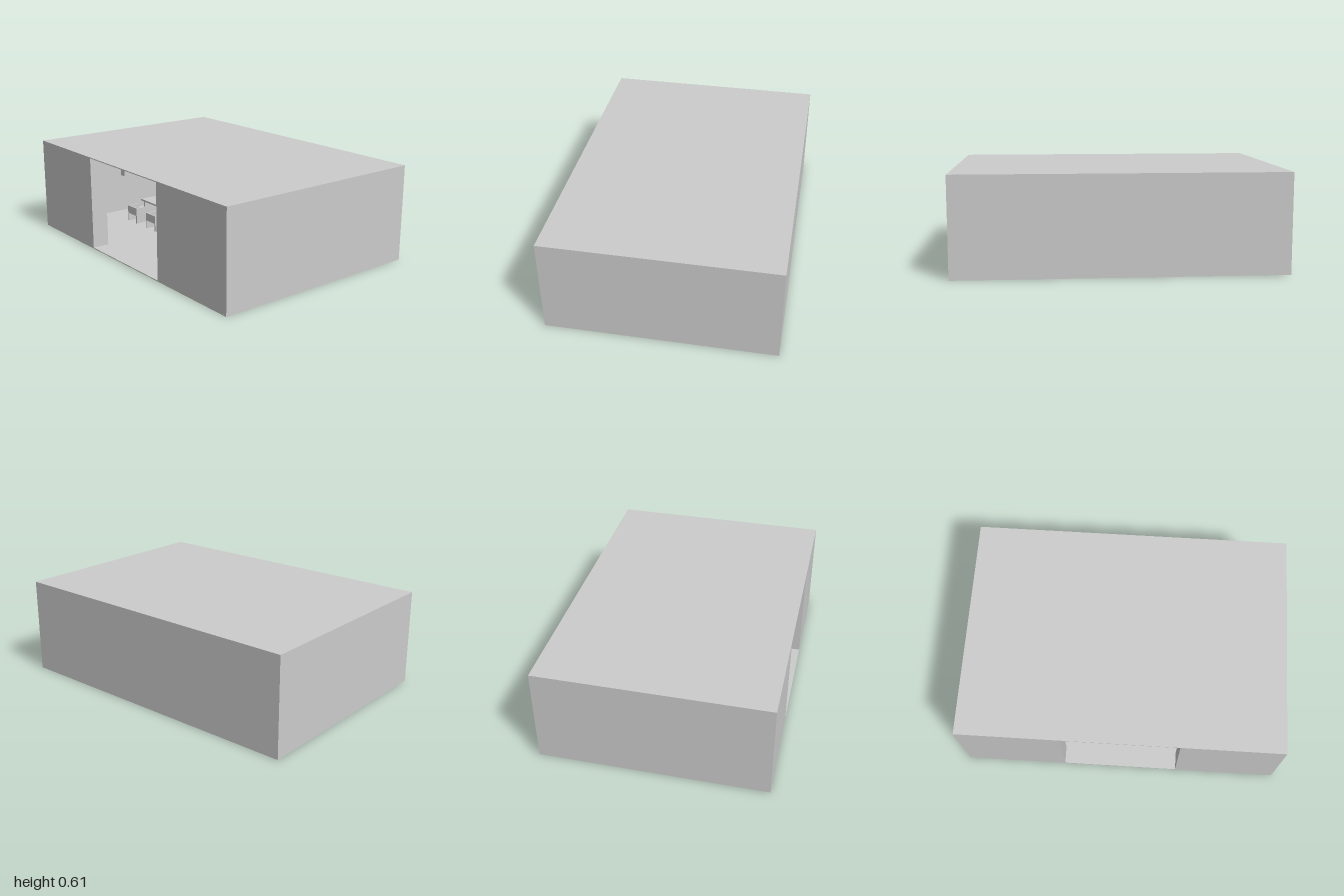
import * as THREE from 'three';

const W = 2, H = 0.61, D = 1.4, SLAB = 0.006, WALL = 0.04;

export function createModel() {
  const room = new THREE.Group();
  room.name = 'room';
  const material = new THREE.MeshStandardMaterial({ color: 0xcccccc });

  // Box given by its lowest and highest corners
  function box(parent, name, [x0, y0, z0], [x1, y1, z1]) {
    const mesh = new THREE.Mesh(new THREE.BoxGeometry(x1 - x0, y1 - y0, z1 - z0), material);
    mesh.position.set((x0 + x1) / 2, (y0 + y1) / 2, (z0 + z1) / 2);
    mesh.name = name;
    parent.add(mesh);
    return mesh;
  }

  // Same box on both sides of the room
  function pair(parent, name, [x0, y0, z0], [x1, y1, z1]) {
    box(parent, name + 'Left', [x0, y0, z0], [x1, y1, z1]);
    box(parent, name + 'Right', [-x1, y0, z0], [-x0, y1, z1]);
  }

  // Shell with a full-height opening in the front
  const x = W / 2, z = D / 2, top = H - SLAB;
  box(room, 'floor', [-x, 0, -z], [x, SLAB, z]);
  box(room, 'roof', [-x, top, -z], [x, H, z]);
  box(room, 'backWall', [-x, SLAB, -z], [x, top, -z + WALL]);
  pair(room, 'sideWall', [x - WALL, SLAB, -z + WALL], [x, top, z - 0.11]);
  pair(room, 'frontWall', [0.365, SLAB, z - 0.11], [x, top, z]);

  // Ceiling beams running front to back
  for (const bx of [-0.74, 0, 0.74]) {
    const front = bx === 0 ? z - 0.01 : z - 0.11;
    box(room, 'ceilingBeam', [bx - 0.02, 0.565, -z + WALL], [bx + 0.02, top, front]);
  }

  // Tall cabinets and a small box on the back wall
  pair(room, 'cabinet', [0.275, SLAB, -z + WALL], [0.9, 0.475, -z + 0.14]);
  box(room, 'wallBox', [-0.02, 0.145, -z + WALL], [0.02, 0.195, -z + 0.06]);

  // Chair: two side panels, a seat and a low back
  function chair(parent, cx) {
    const g = new THREE.Group();
    g.name = 'chair';
    for (const s of [-1, 1]) {
      box(g, 'chairSide', [s * 0.05 - 0.005, 0, -0.045], [s * 0.05 + 0.005, 0.11, 0.045]);
    }
    box(g, 'seat', [-0.045, 0.055, -0.045], [0.045, 0.066, 0.045]);
    box(g, 'chairBack', [-0.045, 0.066, 0.035], [0.045, 0.11, 0.045]);
    g.position.set(cx, SLAB, 0.155);
    parent.add(g);
  }

  // Table with end panels and two chairs, on each side of the aisle
  for (const side of [-1, 1]) {
    const set = new THREE.Group();
    set.name = side < 0 ? 'tableSetRight' : 'tableSetLeft';
    box(set, 'tableTop', [-0.18, 0.128, -0.04], [0.18, 0.14, 0.08]);
    for (const s of [-1, 1]) {
      box(set, 'tableEnd', [s * 0.16 - 0.006, SLAB, -0.035], [s * 0.16 + 0.006, 0.128, 0.065]);
      chair(set, s * 0.115);
    }
    set.position.x = side * 0.555;
    room.add(set);
  }

  return room;
}
